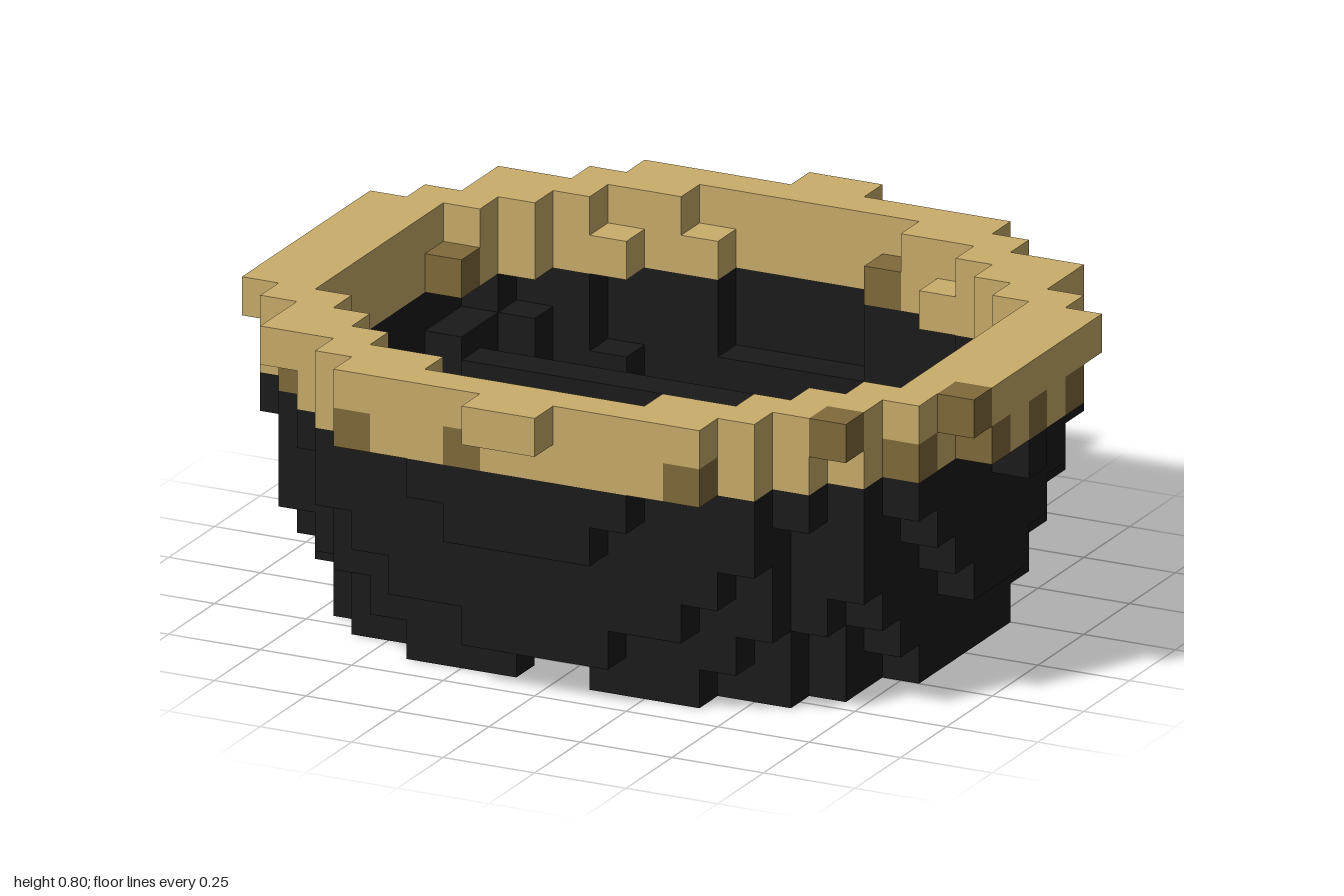
import * as THREE from 'three';
import { mergeGeometries } from 'three/addons/utils/BufferGeometryUtils.js';

const S = 0.1; // cell size

// Per layer, bottom to top: outer and inner half widths (in cells) for rows |z| = 0, 1, 2...
const LAYERS = [
  { outer: [8, 8, 8, 7, 7, 6, 4], inner: [6, 6, 6, 5, 4, 2, 0] },
  { outer: [8, 8, 8, 8, 7, 6, 5, 2], inner: [7, 7, 6, 5, 5, 4, 2, 0] },
  { outer: [9, 9, 8, 8, 8, 7, 6, 4], inner: [8, 8, 7, 6, 5, 4, 2, 0] },
  { outer: [9, 9, 9, 8, 8, 8, 6, 5], inner: [8, 8, 8, 7, 6, 6, 4, 0] },
  { outer: [9, 9, 9, 9, 8, 8, 6, 6, 2], inner: [8, 8, 8, 7, 7, 6, 5, 2, 0] },
  { outer: [10, 9, 9, 9, 9, 8, 7, 6, 3], inner: [8, 8, 8, 8, 8, 7, 5, 2, 0] },
  { outer: [10, 10, 10, 9, 9, 8, 7, 6, 5], inner: [8, 8, 8, 7, 7, 6, 4, 2, 0] },
  { outer: [10, 10, 10, 10, 9, 8, 8, 6, 5, 1], inner: [8, 8, 8, 8, 7, 6, 5, 3, 0, 0] },
];
const RIM_START = 6;

// Darker rim cells, as x, layer, z
const PATCHES = new Set([
  '-10,6,2', '-8,6,5', '-5,6,8', '-2,6,8', '4,6,8', '8,6,4', '9,6,2',
  '9,6,0', '9,6,-2', '8,6,-3', '-8,6,-3', '2,6,-7', '9,7,3', '7,7,6',
  '-3,6,-8', '-4,6,-8', '-5,6,-8', '8,6,0', '8,6,1',
]);

// One square face per direction, pointing outwards
const SIDES = [
  [1, 0, 0], [-1, 0, 0], [0, 1, 0], [0, -1, 0], [0, 0, 1], [0, 0, -1],
].map((d) => {
  const g = new THREE.PlaneGeometry(S, S);
  if (d[0]) g.rotateY(d[0] * Math.PI / 2);
  if (d[1]) g.rotateX(-d[1] * Math.PI / 2);
  if (d[2] < 0) g.rotateY(Math.PI);
  g.translate(d[0] * S / 2, d[1] * S / 2, d[2] * S / 2);
  return { d, g };
});

function fillCells() {
  const cells = new Map();
  LAYERS.forEach(({ outer, inner }, y) => {
    const last = outer.length - 1;
    for (let z = -last; z <= last; z++) {
      const row = Math.abs(z);
      for (let i = inner[row]; i < outer[row]; i++) {
        // small gap at the foot of the front wall
        if (y <= 2 && z === 6 && i === 0) continue;
        for (const x of [i, -1 - i]) {
          const key = `${x},${y},${z}`;
          const part = PATCHES.has(key) ? 'rimPatches' : y >= RIM_START ? 'rim' : 'bowl';
          cells.set(key, { x, y, z, part });
        }
      }
    }
  });
  // Bar across the opening, two cells tall
  for (let x = -5; x < 5; x++) {
    for (const y of [4, 5]) cells.set(`${x},${y},1`, { x, y, z: 1, part: 'crossBar' });
  }
  return cells;
}

export function createModel() {
  const charcoal = new THREE.MeshStandardMaterial({ color: 0x1a1a1a });
  const sand = new THREE.MeshStandardMaterial({ color: 0xcaad6b });
  const brown = new THREE.MeshStandardMaterial({ color: 0x806a3a });
  charcoal.name = 'charcoal';
  sand.name = 'sand';
  brown.name = 'brown';
  const materials = { bowl: charcoal, crossBar: charcoal, rim: sand, rimPatches: brown };

  // Keep only the faces that border empty space
  const faces = { bowl: [], crossBar: [], rim: [], rimPatches: [] };
  const cells = fillCells();
  for (const { x, y, z, part } of cells.values()) {
    for (const { d, g } of SIDES) {
      if (cells.has(`${x + d[0]},${y + d[1]},${z + d[2]}`)) continue;
      faces[part].push(g.clone().translate((x + 0.5) * S, (y + 0.5) * S, z * S));
    }
  }

  const model = new THREE.Group();
  model.name = 'steppedBowl';
  for (const part of Object.keys(faces)) {
    const mesh = new THREE.Mesh(mergeGeometries(faces[part]), materials[part]);
    mesh.name = part;
    model.add(mesh);
  }
  return model;
}
